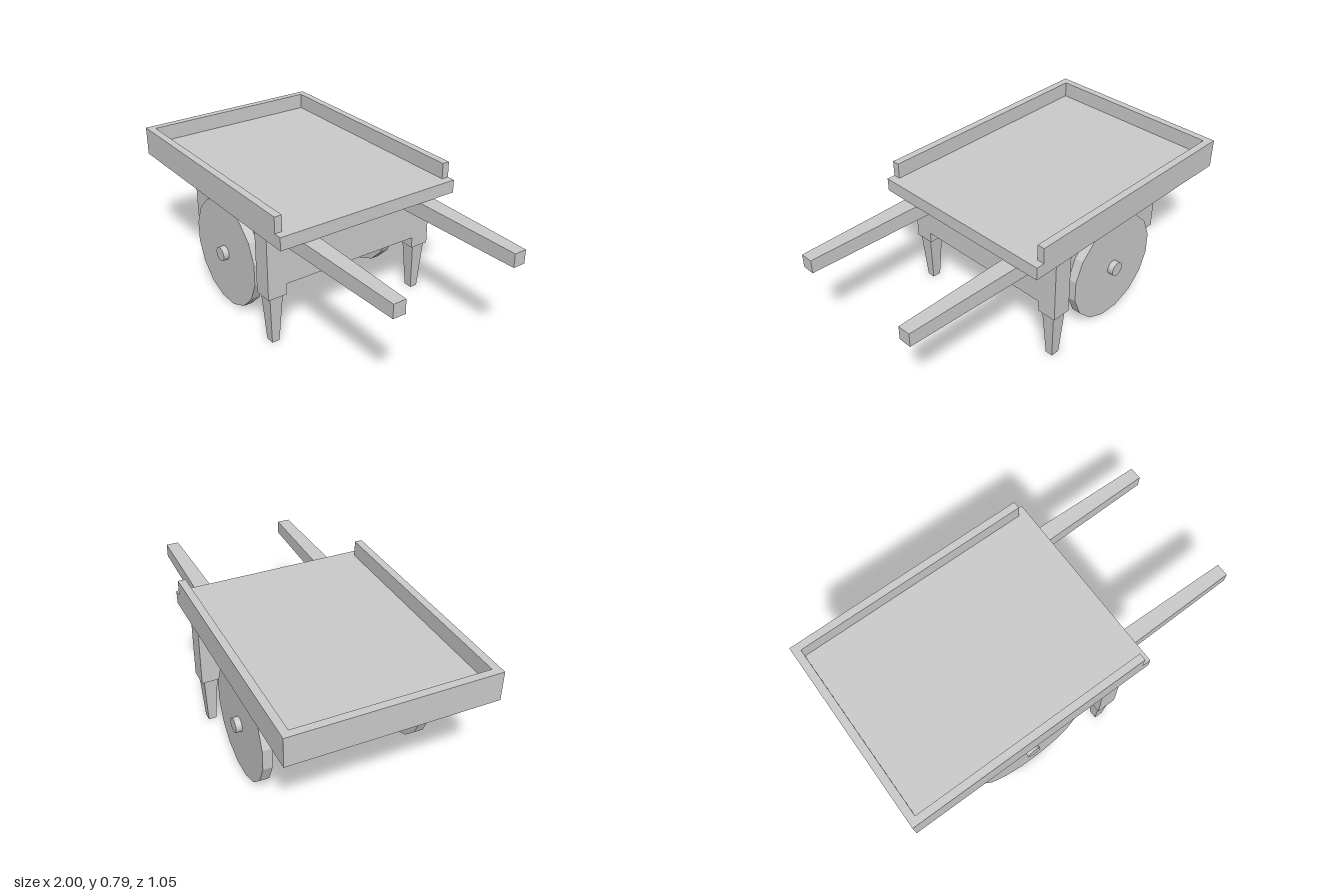
import * as THREE from 'three';

const material = new THREE.MeshStandardMaterial({ color: 0xcccccc });
const flatMaterial = new THREE.MeshStandardMaterial({ color: 0xcccccc, flatShading: true });

export function createModel() {
  const cart = new THREE.Group();
  cart.name = 'handcart';

  const add = (name, geometry, mat = flatMaterial) => {
    const mesh = new THREE.Mesh(geometry, mat);
    mesh.name = name;
    cart.add(mesh);
    return mesh;
  };

  // Box given by its limits on each axis
  const boxGeometry = (x0, x1, y0, y1, z0, z1) =>
    new THREE.BoxGeometry(x1 - x0, y1 - y0, z1 - z0)
      .translate((x0 + x1) / 2, (y0 + y1) / 2, (z0 + z1) / 2);

  // Moves every corner of a geometry by a rule
  const reshape = (geometry, rule) => {
    const p = geometry.attributes.position;
    for (let i = 0; i < p.count; i++) p.setXYZ(i, ...rule(p.getX(i), p.getY(i), p.getZ(i)));
    geometry.computeVertexNormals();
    return geometry;
  };

  const rod = (radius, length, sides) =>
    new THREE.CylinderGeometry(radius, radius, length, sides).rotateX(Math.PI / 2);

  // Tray: one U-shaped rim, open towards the handles, on a flat floor
  add('trayFloor', boxGeometry(-1, 0.37, 0.63, 0.7, -0.525, 0.525));
  const rim = new THREE.Shape([
    [-1, -0.525], [0.325, -0.525], [0.325, -0.485], [-0.96, -0.485],
    [-0.96, 0.485], [0.325, 0.485], [0.325, 0.525], [-1, 0.525],
  ].map(([x, y]) => new THREE.Vector2(x, y)));
  add('trayRim', new THREE.ExtrudeGeometry(rim, { depth: 0.085, bevelEnabled: false })
    .rotateX(-Math.PI / 2).translate(0, 0.7, 0));

  // Box body under the tray
  add('body', boxGeometry(-0.685, 0.215, 0.335, 0.63, -0.4, 0.4));

  // Axle with a thicker collar in the middle
  const axleX = -0.293, axleY = 0.293;
  add('axle', rod(0.039, 0.97, 24), material).position.set(axleX, axleY, 0);
  add('axleCollar', rod(0.083, 0.12, 32), material).position.set(axleX, axleY, 0);

  for (const s of [1, -1]) {
    const side = s > 0 ? 'left' : 'right';

    // Sixteen-sided wheel resting on a flat side
    const wheel = add(side + 'Wheel', rod(axleY / Math.cos(Math.PI / 16), 0.05, 16));
    wheel.geometry.rotateZ(Math.PI / 16);
    wheel.position.set(axleX, axleY, s * 0.428);

    // Leg: square post above, tapered foot below
    add(side + 'LegPost',
      boxGeometry(0.11, 0.215, 0.275, 0.63, -0.0525, 0.0525)).position.z = s * 0.4525;
    const foot = reshape(new THREE.BoxGeometry(0.084, 0.275, 0.074),
      (x, y, z) => (y < 0 ? [x * 0.57, y, z * 0.57] : [x, y, z]));
    add(side + 'LegFoot', foot).position.set(0.163, 0.1375, s * 0.4535);

    // Handle: level on top, narrowing towards the grip
    const handle = reshape(boxGeometry(0.2, 1, -0.086, 0, -0.048, 0.048),
      (x, y, z) => (x > 0.5 ? [x, y * 0.85, z * 0.71] : [x, y, z]));
    add(side + 'Handle', handle).position.set(0, 0.63, s * 0.352);
  }

  return cart;
}
